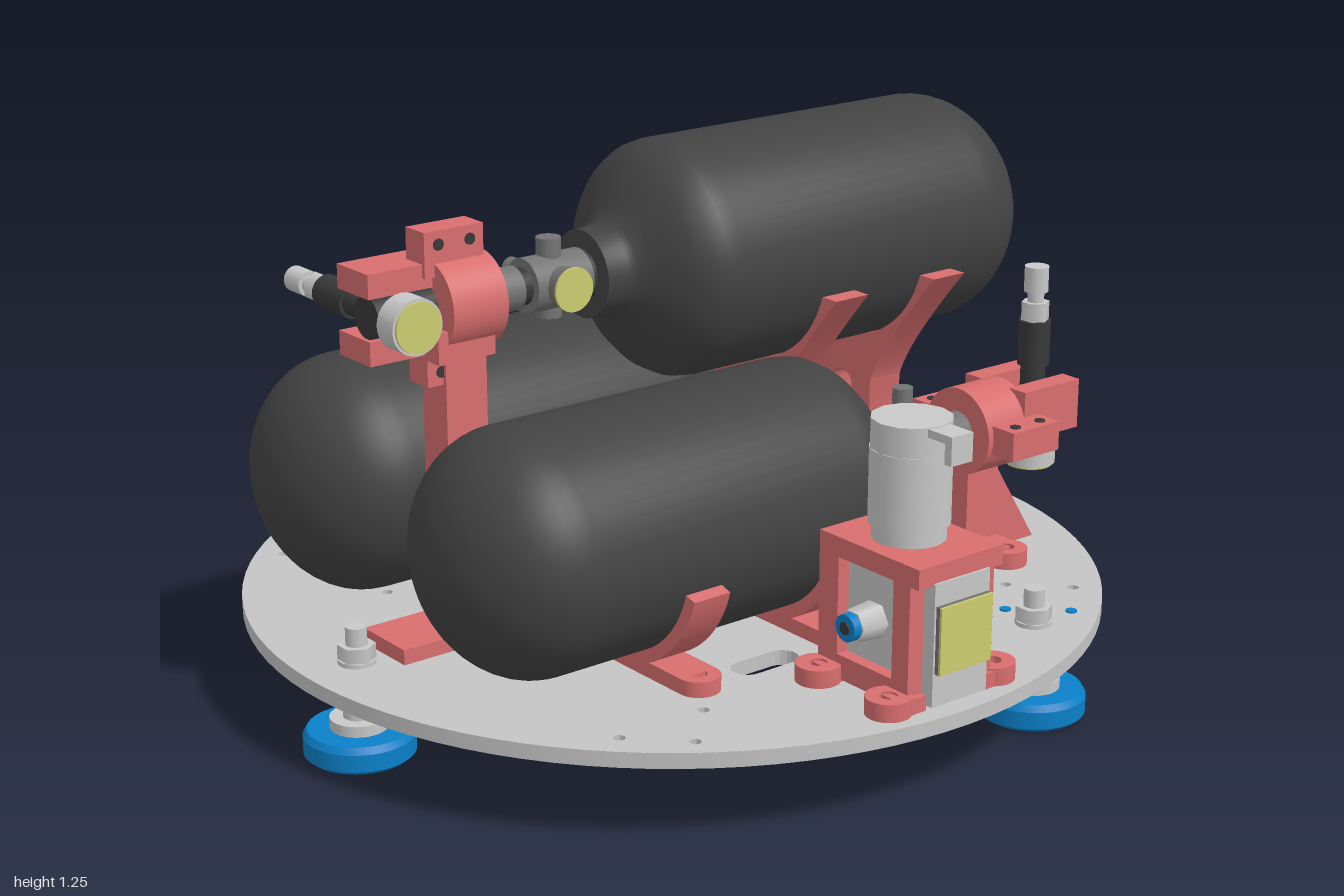
import * as THREE from 'three';
import { toCreasedNormals } from 'three/addons/utils/BufferGeometryUtils.js';

const mat = (name, color) => Object.assign(new THREE.MeshStandardMaterial({ color }), { name });
const V = (x, y, z) => new THREE.Vector3(x, y, z);

export function createModel() {
  const plateGrey = mat('plate grey', 0xc4c4c4), tankBlack = mat('tank black', 0x434343);
  const red = mat('printed red', 0xd86e6e), blue = mat('blue', 0x0a80c8), gold = mat('gauge yellow', 0xcccc70);
  const steel = mat('valve grey', 0x747474), dark = mat('dark rubber', 0x383838), light = mat('light metal', 0xc8c8c8);

  const root = new THREE.Group();
  const group = (name, parent = root) => {
    const g = new THREE.Group();
    g.name = name;
    parent.add(g);
    return g;
  };
  const add = (parent, name, geo, m) => {
    const mesh = new THREE.Mesh(geo, m);
    mesh.name = name;
    parent.add(mesh);
    return mesh;
  };
  const box = (p, name, m, x0, x1, y0, y1, z0, z1) => add(p, name,
    new THREE.BoxGeometry(x1 - x0, y1 - y0, z1 - z0).translate((x0 + x1) / 2, (y0 + y1) / 2, (z0 + z1) / 2), m);
  // Cylinder between two points
  const rod = (p, name, m, a, b, r0, r1 = r0, seg = 28) => {
    const d = b.clone().sub(a), mesh = add(p, name, new THREE.CylinderGeometry(r1, r0, d.length(), seg), m);
    mesh.position.copy(a).add(b).multiplyScalar(0.5);
    mesh.quaternion.setFromUnitVectors(V(0, 1, 0), d.normalize());
    return mesh;
  };
  // Profile drawn in (z, y), extruded from x0 to x1
  const ribX = (p, name, m, shape, x0, x1) => {
    const geo = new THREE.ExtrudeGeometry(shape, { depth: x1 - x0, bevelEnabled: false, curveSegments: 28 });
    geo.applyMatrix4(new THREE.Matrix4().makeBasis(V(0, 0, 1), V(0, 1, 0), V(-1, 0, 0)));
    return add(p, name, toCreasedNormals(geo.translate(x1, 0, 0), 0.5), m);
  };
  // Plan drawn in (x, -z), extruded upward
  const slab = (p, name, m, shape, y0, y1, seg = 16) => {
    const geo = new THREE.ExtrudeGeometry(shape, { depth: y1 - y0, bevelEnabled: false, curveSegments: seg });
    return add(p, name, toCreasedNormals(geo.rotateX(-Math.PI / 2).translate(0, y0, 0), 0.5), m);
  };
  const disc = (x, y, r) => new THREE.Path().absarc(x, y, r, 0, Math.PI * 2, true);
  // Screw tab with a hole, joined to its part by a short bar
  const tab = (p, x, z, r = 0.05, h = 0.04) => {
    const s = new THREE.Shape().absarc(x, -z, r, 0, Math.PI * 2, false);
    s.holes.push(disc(x, -z, r * 0.4));
    slab(p, 'screwTab', red, s, 0.215, 0.215 + h);
  };

  // Base plate with slots and screw holes
  const plate = new THREE.Shape().absarc(0, 0, 1, 0, Math.PI * 2, false);
  for (const s of [-1, 1]) {
    for (const [x, z] of [[-0.18, 0.55], [0.42, 0.4]]) {
      const slot = new THREE.Path();
      slot.absarc(x + 0.05, s * z, 0.036, -Math.PI / 2, Math.PI / 2, false);
      slot.absarc(x - 0.05, s * z, 0.036, Math.PI / 2, Math.PI * 1.5, false);
      plate.holes.push(slot);
    }
    for (const [x, z] of [[-0.55, 0.77], [-0.66, 0.66], [-0.44, 0.66], [0.66, 0.66], [0.55, 0.55],
      [0.2, 0.2], [-0.2, 0.2], [0.75, 0.25], [-0.6, 0.3], [-0.3, 0.35], [0.1, 0.4]])
      plate.holes.push(disc(x, s * z, 0.013));
    for (const [x, z] of [[0.44, 0.66], [0.55, 0.76]])
      rod(root, 'bluePlug', blue, V(x, 0.178, s * z), V(x, 0.219, s * z), 0.013, 0.013, 12);
  }
  slab(root, 'basePlate', plateGrey, plate, 0.18, 0.215, 48);

  // Three air-bearing feet, nozzles pointing inward
  for (const a of [0, 1, 2].map(i => Math.PI + i * Math.PI * 2 / 3)) {
    const foot = group('foot');
    foot.position.set(0.87 * Math.cos(a), 0, 0.87 * Math.sin(a));
    foot.rotation.y = Math.PI - a;
    const prof = [[0, 0], [0.112, 0], [0.124, 0.01], [0.124, 0.05], [0.115, 0.065], [0, 0.065]];
    add(foot, 'footPad', toCreasedNormals(new THREE.LatheGeometry(prof.map(q => new THREE.Vector2(...q)), 40), 0.5), blue);
    for (const [n, r, y0, y1, seg] of [['padCap', 0.065, 0.065, 0.09, 28], ['swivel', 0.035, 0.09, 0.12, 20],
      ['lowerNut', 0.05, 0.12, 0.15, 6], ['washer', 0.062, 0.168, 0.18, 24], ['stud', 0.024, 0.12, 0.3, 16],
      ['topWasher', 0.042, 0.215, 0.225, 24], ['topNut', 0.042, 0.225, 0.258, 6]])
      rod(foot, n, light, V(0, y0, 0), V(0, y1, 0), r, r, seg);
    rod(foot, 'nozzle', blue, V(0.11, 0.04, 0), V(0.155, 0.04, 0), 0.02);
    rod(foot, 'nozzleTip', dark, V(0.15, 0.04, 0), V(0.2, 0.04, 0), 0.024);
  }

  // Hose splitter under the centre
  const splitter = group('hoseSplitter');
  rod(splitter, 'splitterHub', blue, V(0, 0.12, 0), V(0, 0.18, 0), 0.028);
  for (let i = 0; i < 4; i++) {
    const c = Math.round(Math.cos(i * Math.PI / 2)), s = Math.round(Math.sin(i * Math.PI / 2));
    rod(splitter, 'splitterArm', dark, V(0, 0.15, 0), V(c * 0.065, 0.15, s * 0.065), 0.022);
    rod(splitter, 'splitterCollar', blue, V(c * 0.06, 0.15, s * 0.06), V(c * 0.078, 0.15, s * 0.078), 0.026);
  }

  // Tank with valve and regulator; axis +x, coupling +y, gauges -y
  const tankUnit = (name) => {
    const g = group(name), R = 0.273, pts = [];
    for (let i = 0; i <= 14; i++) {
      const t = i / 14 * Math.PI / 2;
      pts.push(new THREE.Vector2(R * Math.sin(t), -0.66 - 0.22 * Math.cos(t)));
    }
    for (const [r, x] of [[R, 0.09], [0.268, 0.125], [0.25, 0.16], [0.222, 0.19], [0.18, 0.217], [0.14, 0.24],
      [0.115, 0.258], [0.103, 0.275], [0.1, 0.33], [0, 0.33]]) pts.push(new THREE.Vector2(r, x));
    add(g, 'tank', toCreasedNormals(new THREE.LatheGeometry(pts, 56).rotateZ(-Math.PI / 2), 0.7), tankBlack);
    for (const [n, m, x0, x1, r] of [['neckRing', dark, 0.32, 0.345, 0.06], ['valveBody', steel, 0.34, 0.49, 0.062],
      ['valveNeck', dark, 0.49, 0.52, 0.042], ['valveCoupler', steel, 0.515, 0.6, 0.05], ['regulatorTube', dark, 0.58, 0.89, 0.047]])
      rod(g, n, m, V(x0, 0, 0), V(x1, 0, 0), r);
    rod(g, 'fillStub', steel, V(0.42, 0, 0), V(0.42, 0.145, 0), 0.024);
    rod(g, 'crossStub', steel, V(0.42, 0, -0.1), V(0.42, 0, 0.08), 0.028);
    rod(g, 'valveGauge', steel, V(0.42, -0.09, 0), V(0.42, 0, 0), 0.05, 0.035);
    rod(g, 'valveGaugeFace', gold, V(0.42, -0.096, 0), V(0.42, -0.09, 0), 0.05);
    // Clamp: ring block, bolted flange and two side arms
    const ring = new THREE.Shape().absarc(0, 0, 0.105, 0, Math.PI * 2, false);
    ring.holes.push(disc(0, 0, 0.045));
    ribX(g, 'clampRing', red, ring, 0.6, 0.74);
    for (const s of [-1, 1]) {
      const z = (a, b) => s > 0 ? [a, b] : [-b, -a];
      box(g, 'clampFlange', red, 0.615, 0.765, -0.035, 0.035, ...z(0.07, 0.17));
      box(g, 'clampArm', red, 0.72, 0.9, -0.025, 0.095, ...z(0.046, 0.1));
      for (const x of [0.65, 0.73])
        rod(g, 'clampScrew', dark, V(x, -0.038, s * 0.14), V(x, 0.038, s * 0.14), 0.013, 0.013, 12);
    }
    rod(g, 'gaugeBody', light, V(0.845, -0.125, 0), V(0.845, -0.065, 0), 0.062);
    rod(g, 'gaugeStem', dark, V(0.845, -0.07, 0), V(0.845, 0, 0), 0.03);
    rod(g, 'gaugeFace', gold, V(0.845, -0.131, 0), V(0.845, -0.125, 0), 0.056);
    for (const [n, m, y0, y1, r, seg] of [['couplingSleeve', dark, 0, 0.14, 0.03, 20], ['couplingGrip', dark, 0.12, 0.23, 0.038, 24],
      ['couplingHex', light, 0.23, 0.275, 0.034, 6], ['couplingNeck', light, 0.27, 0.3, 0.02, 20], ['couplingTip', light, 0.3, 0.362, 0.029, 20]])
      rod(g, n, m, V(0.845, y0, 0), V(0.845, y1, 0), r, r, seg);
    return g;
  };
  tankUnit('frontTankUnit').position.set(0, 0.52, 0.325);
  tankUnit('backTankUnit').position.set(0, 0.52, -0.325);
  const upper = tankUnit('upperTankUnit');
  upper.quaternion.setFromRotationMatrix(new THREE.Matrix4().makeBasis(V(-1, 0, 0), V(0, 0, -1), V(0, -1, 0)));
  upper.position.set(0.075, 0.98, 0);

  // Lower cradles
  for (const s of [-1, 1]) for (const x of [-0.38, 0.02]) {
    const g = group('lowerCradle');
    const c = new THREE.Shape();
    c.absarc(s * 0.325, 0.52, 0.302, -0.28, -Math.PI + 0.28, true);
    c.absarc(s * 0.325, 0.52, 0.272, -Math.PI + 0.28, -0.28, false);
    ribX(g, 'cradleCup', red, c, x - 0.048, x + 0.048);
    box(g, 'cradleBase', red, x - 0.048, x + 0.048, 0.215, 0.25, Math.min(s * 0.04, s * 0.57), Math.max(s * 0.04, s * 0.57));
    tab(g, x, s * 0.57, 0.048, 0.035);
  }

  // Tall stand holding the upper tank
  const stand = group('upperStand');
  const p = new THREE.Shape();
  p.moveTo(-0.15, 0.215);
  p.lineTo(0.15, 0.215);
  p.lineTo(0.15, 0.25);
  p.quadraticCurveTo(0.1, 0.26, 0.1, 0.33);
  p.lineTo(0.1, 0.6);
  p.quadraticCurveTo(0.12, 0.68, 0.31, 0.9);
  p.lineTo(0.262, 0.9);
  p.absarc(0, 0.98, 0.274, -0.296, -Math.PI + 0.296, true);
  p.lineTo(-0.31, 0.9);
  p.quadraticCurveTo(-0.12, 0.68, -0.1, 0.6);
  p.lineTo(-0.1, 0.33);
  p.quadraticCurveTo(-0.1, 0.26, -0.15, 0.25);
  const hole = new THREE.Path();
  hole.absarc(0, 0.575, 0.036, 0, Math.PI, false);
  hole.absarc(0, 0.365, 0.036, Math.PI, Math.PI * 2, false);
  p.holes.push(hole);
  for (const x of [0.272, 0.572]) ribX(stand, 'standRib', red, p, x - 0.048, x + 0.048);
  box(stand, 'standBase', red, 0.23, 0.62, 0.215, 0.25, -0.13, 0.13);

  // Post under the upper clamp
  const post = group('upperClampPost');
  box(post, 'postColumn', red, -0.65, -0.545, 0.22, 0.92, -0.045, 0.045);
  box(post, 'postHead', red, -0.69, -0.545, 0.87, 0.94, -0.1, 0.08);
  box(post, 'postBase', red, -0.8, -0.46, 0.215, 0.25, -0.08, 0.08);

  // Pedestals under the two lower clamps
  for (const s of [-1, 1]) {
    const g = group('lowerClampPedestal'), z = s * 0.325;
    box(g, 'pedestalColumn', red, 0.6, 0.7, 0.22, 0.45, z - 0.04, z + 0.04);
    box(g, 'pedestalBase', red, 0.6, 0.7, 0.215, 0.25, z - 0.12, z + 0.12);
    tab(g, 0.65, s * 0.45);
    const w = new THREE.Shape([[0.68, 0.215], [0.83, 0.215], [0.7, 0.42], [0.68, 0.42]].map(q => new THREE.Vector2(...q)));
    add(g, 'gusset', new THREE.ExtrudeGeometry(w, { depth: 0.07, bevelEnabled: false }).translate(0, 0, z - 0.035), red);
  }

  // Front pressure regulator in its red frame
  const reg = group('frontRegulator');
  for (const s of [-1, 1]) {
    for (const z of [0.69, 0.91]) {
      tab(reg, s * 0.15, z);
      box(reg, 'frameFoot', red, Math.min(s * 0.08, s * 0.15), Math.max(s * 0.08, s * 0.15), 0.215, 0.25, z - 0.04, z + 0.04);
      box(reg, 'framePost', red, s * 0.1 - 0.02, s * 0.1 + 0.02, 0.22, 0.52, z - 0.025, z + 0.025);
    }
    box(reg, 'frameSill', red, s * 0.1 - 0.02, s * 0.1 + 0.02, 0.22, 0.275, 0.67, 0.93);
    rod(reg, 'portNut', light, V(s * 0.08, 0.375, 0.8), V(s * 0.155, 0.375, 0.8), 0.042, 0.036, 6);
    rod(reg, 'portCollar', blue, V(s * 0.155, 0.375, 0.8), V(s * 0.175, 0.375, 0.8), 0.03);
    rod(reg, 'portBore', dark, V(s * 0.17, 0.375, 0.8), V(s * 0.178, 0.375, 0.8), 0.014);
  }
  box(reg, 'frameTop', red, -0.12, 0.12, 0.495, 0.54, 0.655, 0.96);
  box(reg, 'frameBack', red, -0.12, 0.12, 0.22, 0.5, 0.655, 0.68);
  box(reg, 'regulatorBody', light, -0.09, 0.09, 0.225, 0.5, 0.7, 0.93);
  box(reg, 'regulatorFront', light, -0.078, 0.078, 0.225, 0.5, 0.92, 0.965);
  box(reg, 'displayBlock', steel, -0.073, 0.073, 0.3, 0.45, 0.96, 0.975);
  box(reg, 'displayFace', gold, -0.073, 0.073, 0.3, 0.45, 0.975, 0.981);
  rod(reg, 'knobCollar', light, V(0, 0.54, 0.8), V(0, 0.58, 0.8), 0.08);
  rod(reg, 'knob', light, V(0, 0.575, 0.8), V(0, 0.74, 0.8), 0.088);
  rod(reg, 'knobTop', light, V(0, 0.74, 0.8), V(0, 0.805, 0.8), 0.088, 0.088, 12);
  box(reg, 'lockTabTop', light, -0.03, 0.03, 0.785, 0.803, 0.8, 0.945);
  box(reg, 'lockTabSide', light, -0.03, 0.03, 0.74, 0.803, 0.93, 0.95);

  // Back regulator with blue knob and rear gauge
  const rear = group('backRegulator');
  for (const s of [-1, 1]) {
    tab(rear, s * 0.115, -0.755);
    box(rear, 'rearMountSide', red, s * 0.075 - 0.017, s * 0.075 + 0.017, 0.215, 0.38, -0.87, -0.75);
    rod(rear, 'rearPort', blue, V(0, 0.31, -0.81), V(s * 0.09, 0.31, -0.81), 0.035);
    rod(rear, 'rearPortBore', dark, V(s * 0.09, 0.31, -0.81), V(s * 0.096, 0.31, -0.81), 0.018);
  }
  box(rear, 'rearMountBase', red, -0.115, 0.115, 0.215, 0.25, -0.87, -0.705);
  box(rear, 'rearMountWall', red, -0.085, 0.085, 0.215, 0.38, -0.765, -0.735);
  box(rear, 'rearBody', blue, -0.05, 0.05, 0.24, 0.38, -0.865, -0.765);
  for (const [n, y0, y1, r, seg] of [['rearNeck', 0.38, 0.44, 0.042, 24], ['rearRing', 0.395, 0.415, 0.062, 24],
    ['rearKnob', 0.43, 0.53, 0.053, 16], ['rearKnobTop', 0.53, 0.55, 0.046, 16]])
    rod(rear, n, blue, V(0, y0, -0.81), V(0, y1, -0.81), r, r, seg);
  rod(rear, 'rearGaugeStem', dark, V(0, 0.31, -0.85), V(0, 0.31, -0.9), 0.025);
  rod(rear, 'rearGauge', dark, V(0, 0.31, -0.89), V(0, 0.31, -0.97), 0.064);
  rod(rear, 'rearGaugeFace', gold, V(0, 0.31, -0.97), V(0, 0.31, -0.977), 0.057);
  return root;
}
